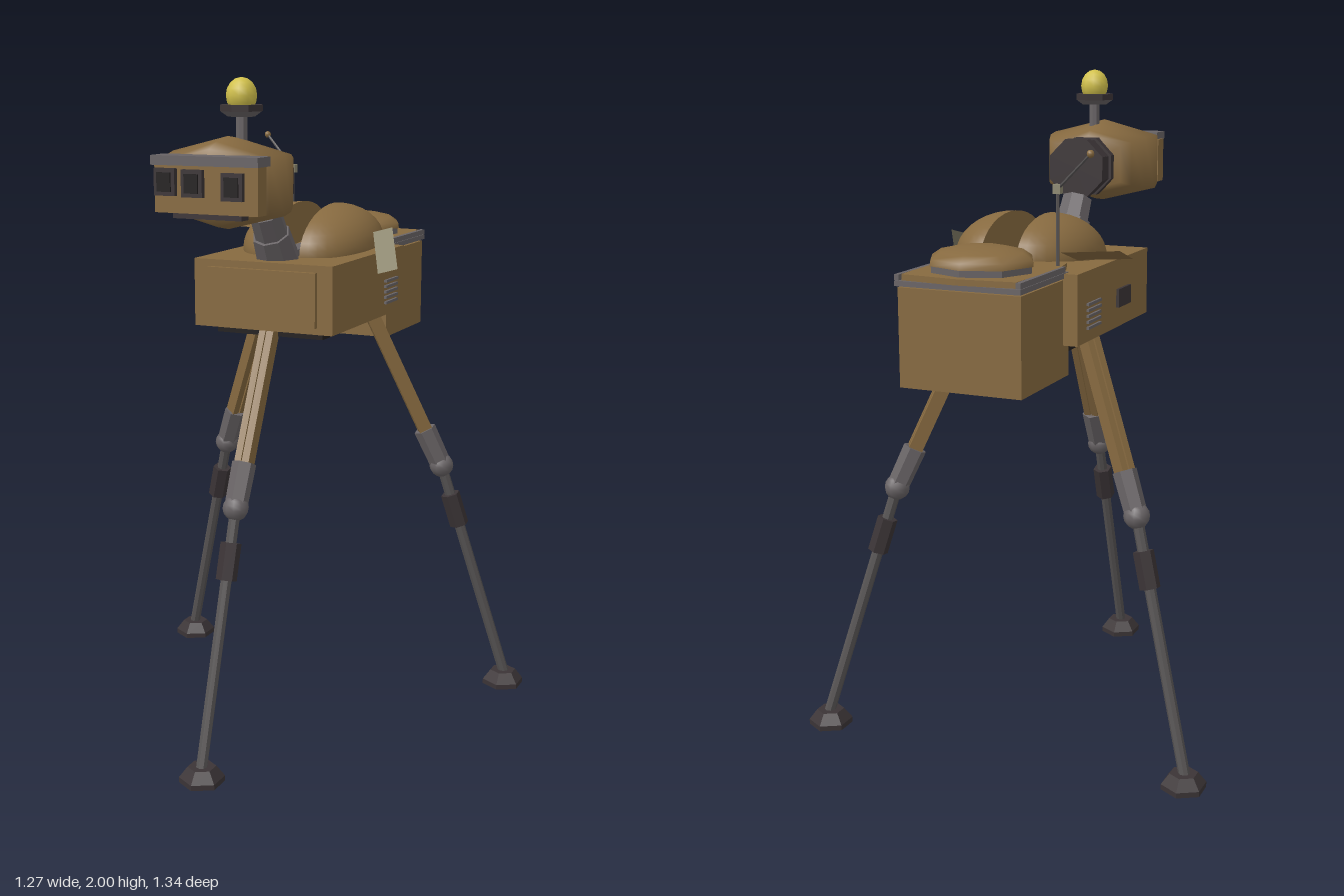
import * as THREE from 'three';

const mat = (name, color, side = THREE.FrontSide) => {
  const m = new THREE.MeshStandardMaterial({ color, side });
  m.name = name;
  return m;
};

export function createModel() {
  const root = new THREE.Group();
  root.name = 'tripodRobot';
  const tan = mat('tan paint', 0x876a40, THREE.DoubleSide);
  const grey = mat('grey metal', 0x696466);
  const steel = mat('rod steel', 0x575454);
  const dark = mat('dark rubber', 0x3b3436);
  const black = mat('black underside', 0x211e1e);
  const pale = mat('pale panel', 0x8e8971, THREE.DoubleSide);
  const yellow = mat('yellow lamp', 0xd2c14c);

  const add = (name, geo, m, pos = [0, 0, 0], parent = root) => {
    const mesh = new THREE.Mesh(geo, m);
    mesh.name = name;
    mesh.position.set(...pos);
    parent.add(mesh);
    return mesh;
  };
  const flat = (geo) => {
    const g = geo.toNonIndexed();
    g.computeVertexNormals();
    return g;
  };
  // box from its min and max corners
  const box = (name, m, x0, x1, y0, y1, z0, z1) =>
    add(name, new THREE.BoxGeometry(x1 - x0, y1 - y0, z1 - z0), m, [(x0 + x1) / 2, (y0 + y1) / 2, (z0 + z1) / 2]);
  const cyl = (r0, r1, h, n) => flat(new THREE.CylinderGeometry(r1, r0, h, n));
  // lay a y-aligned part along the segment a to b
  const along = (name, make, m, a, b, parent = root) => {
    const p = new THREE.Vector3(...a), d = new THREE.Vector3(...b).sub(p);
    const mesh = add(name, make(d.length()), m, p.clone().addScaledVector(d, 0.5).toArray(), parent);
    mesh.quaternion.setFromUnitVectors(new THREE.Vector3(0, 1, 0), d.normalize());
    return mesh;
  };
  const quad = (name, m, pts) => {
    const g = new THREE.BufferGeometry();
    g.setAttribute('position', new THREE.Float32BufferAttribute(pts.flat(), 3));
    g.setIndex([0, 1, 2, 0, 2, 3]);
    g.computeVertexNormals();
    add(name, g, m);
  };

  // Body
  box('body', tan, -0.227, 0.225, 1.265, 1.468, -0.37, 0.195);
  box('frontPanel', tan, -0.178, 0.176, 1.285, 1.447, 0.195, 0.21);
  box('underPlate', black, -0.18, 0.17, 1.24, 1.265, -0.32, 0.14);
  box('sidePort', dark, -0.236, -0.227, 1.325, 1.38, -0.07, 0.03);
  for (const s of [-1, 1]) for (let i = 0; i < 5; i++) {
    add('ventSlat', new THREE.BoxGeometry(0.012, 0.008, 0.098), grey, [s * 0.228, 1.305 + i * 0.017, -0.253]);
  }

  // Rear box and its lid
  box('rearBox', tan, -0.183, 0.183, 1.172, 1.45, -0.65, -0.33);
  box('lidSeal', grey, -0.187, 0.187, 1.455, 1.47, -0.662, -0.34);
  const lid = new THREE.Shape([[-0.165, 0.3], [0.165, 0.3], [0.183, 0.4], [0.17, 0.65], [0, 0.668], [-0.17, 0.65], [-0.183, 0.4]]
    .map(([x, z]) => new THREE.Vector2(x, z)));
  const lidGeo = new THREE.ExtrudeGeometry(lid, { depth: 0.017, bevelEnabled: false });
  lidGeo.rotateX(-Math.PI / 2);
  add('lid', lidGeo, tan, [0, 1.47, 0]);
  for (const s of [-1, 1]) add('lidEdge', new THREE.BoxGeometry(0.014, 0.016, 0.3), grey, [s * 0.18, 1.479, -0.51]);
  const hatchRim = add('hatchRim', cyl(1, 1, 0.02, 8), grey, [0, 1.497, -0.505]);
  hatchRim.scale.set(0.15, 1, 0.137);
  const hatch = add('hatch', new THREE.LatheGeometry([[1, 0], [0.98, 0.018], [0.8, 0.036], [0.45, 0.048], [0, 0.052]]
    .reverse().map(([r, y]) => new THREE.Vector2(r, y)), 8), tan, [0, 1.505, -0.505]);
  hatch.scale.set(0.155, 1, 0.138);

  // Split shell on the back, with the spine between its halves
  for (const s of [-1, 1]) {
    const half = new THREE.Group();
    half.name = s > 0 ? 'leftShell' : 'rightShell';
    half.position.set(s * 0.055, 1.483, -0.172);
    half.rotation.x = 0.08;
    half.scale.set(0.157, 0.127, 0.23);
    root.add(half);
    add('shell', new THREE.SphereGeometry(1, 18, 9, s > 0 ? Math.PI / 2 : Math.PI * 1.5, Math.PI, 0, Math.PI / 2), tan, [0, 0, 0], half);
    const wall = add('shellWall', new THREE.CircleGeometry(1, 18, 0, Math.PI), tan, [0, 0, 0], half);
    wall.rotation.y = -s * Math.PI / 2;
  }
  box('spine', grey, -0.035, 0.035, 1.465, 1.487, -0.33, 0.09);

  // Loose side panels
  quad('rightFlap', tan, [[-0.4, 1.562, -0.5], [-0.363, 1.51, -0.297], [-0.208, 1.503, -0.33], [-0.243, 1.552, -0.525]]);
  quad('leftFlap', pale, [[0.204, 1.53, -0.16], [0.31, 1.435, 0.06], [0.364, 1.45, 0.04], [0.258, 1.545, -0.182]]);

  // Neck
  along('neckBase', (h) => cyl(0.066, 0.058, h, 8), grey, [0, 1.46, 0.085], [0, 1.545, 0.137]);
  along('neck', (h) => cyl(0.052, 0.048, h, 8), grey, [0, 1.53, 0.125], [0, 1.61, 0.175]);
  for (const [z, r, h] of [[0.178, 0.095, 0.03], [0.215, 0.09, 0.026], [0.252, 0.095, 0.03], [0.215, 0.07, 0.1]]) {
    const g = cyl(r, r, h, 8);
    g.rotateY(Math.PI / 8);
    g.rotateX(Math.PI / 2);
    add('collar', g, dark, [0, 1.706, z]);
  }

  // Head: six-sided sections lofted from back to front
  const section = [[0, 1], [-1, 0.66], [-1, -0.66], [0, -1], [1, -0.66], [1, 0.66]];
  const rings = [[0.262, 0.11, 0.085], [0.28, 0.14, 0.1], [0.34, 0.162, 0.12], [0.405, 0.173, 0.128], [0.47, 0.158, 0.116], [0.515, 0.135, 0.098]];
  const pos = [], idx = [], n = section.length, last = rings.length - 1;
  for (const [z, w, h] of rings) for (const [x, y] of section) pos.push(x * w, y * h, z);
  pos.push(0, 0, 0.255, 0, 0, 0.535);
  for (let j = 0; j < n; j++) {
    const k = (j + 1) % n;
    for (let i = 0; i < last; i++) {
      const a = i * n + j, b = i * n + k;
      idx.push(a, b, b + n, a, b + n, a + n);
    }
    idx.push(n * rings.length, k, j, n * rings.length + 1, last * n + j, last * n + k);
  }
  const headGeo = new THREE.BufferGeometry();
  headGeo.setAttribute('position', new THREE.Float32BufferAttribute(pos, 3));
  headGeo.setIndex(idx);
  headGeo.computeVertexNormals();
  add('head', headGeo, tan, [0, 1.714, 0]);

  // Face
  box('facePlate', tan, -0.15, 0.165, 1.64, 1.775, 0.5, 0.55);
  box('mouthBar', dark, -0.1, 0.11, 1.625, 1.64, 0.5, 0.54);
  const visor = add('visor', new THREE.BoxGeometry(0.32, 0.026, 0.078), grey, [0.02, 1.784, 0.547]);
  visor.rotation.y = 0.02;
  for (const [x, y] of [[-0.112, 1.724], [-0.028, 1.722], [0.093, 1.716]]) {
    add('eyeFrame', new THREE.BoxGeometry(0.064, 0.074, 0.016), dark, [x, y, 0.557]);
    add('eye', new THREE.BoxGeometry(0.042, 0.052, 0.006), black, [x, y, 0.567]);
  }

  // Beacon
  add('beaconStem', cyl(0.017, 0.017, 0.09, 8), grey, [0.01, 1.865, 0.34]);
  add('beaconBase', cyl(0.04, 0.062, 0.015, 8), grey, [0.01, 1.9, 0.34]);
  add('beaconFlange', cyl(0.062, 0.062, 0.018, 8), dark, [0.01, 1.916, 0.34]);
  const lamp = add('beaconLamp', new THREE.SphereGeometry(1, 10, 8), yellow, [0.01, 1.95, 0.34]);
  lamp.scale.set(0.043, 0.05, 0.047);

  // Antenna
  add('antennaMast', cyl(0.005, 0.005, 0.23, 6), steel, [-0.162, 1.585, -0.357]);
  add('antennaElbow', new THREE.BoxGeometry(0.022, 0.026, 0.022), pale, [-0.162, 1.7, -0.357]);
  along('antennaRod', (h) => cyl(0.005, 0.004, h, 6), steel, [-0.162, 1.7, -0.357], [-0.283, 1.803, -0.42]);
  add('antennaTip', new THREE.SphereGeometry(0.011, 8, 6), tan, [-0.284, 1.804, -0.421]);

  // Legs: each is built in its own plane, with +z outward
  const legs = [['frontLeg', 0, 0.145, 0, 0.603], ['rightLeg', -0.185, -0.19, -0.578, -0.405], ['leftLeg', 0.185, -0.205, 0.576, -0.45]];
  for (const [name, hx, hz, fx, fz] of legs) {
    const leg = new THREE.Group();
    leg.name = name;
    leg.position.set(hx, 0, hz);
    const heading = Math.atan2(fx - hx, fz - hz), d = Math.hypot(fx - hx, fz - hz);
    leg.rotation.y = heading;
    root.add(leg);
    const up = (y, x = 0) => [x, y, d * 0.51 * (1.265 - y) / 0.5];
    const low = (y) => [0, y, d * (0.51 + 0.49 * (0.765 - y) / 0.715)];
    for (const s of [-1, 1]) {
      along('thighBeam', (h) => new THREE.BoxGeometry(0.021, h, 0.042), tan, up(1.29, s * 0.013), up(0.87, s * 0.013), leg);
    }
    along('thighCore', (h) => new THREE.BoxGeometry(0.01, h, 0.03), tan, up(1.28), up(0.87), leg);
    along('kneeCuff', (h) => cyl(0.034, 0.036, h, 6), grey, up(0.775), up(0.89), leg);
    add('knee', new THREE.SphereGeometry(0.039, 10, 8), grey, up(0.768), leg);
    along('shin', (h) => cyl(0.017, 0.017, h, 8), steel, low(0.03), low(0.765), leg);
    along('shinSleeve', (h) => cyl(0.031, 0.031, h, 6), dark, low(0.565), low(0.67), leg);
    const foot = add('foot', cyl(0.067, 0.042, 0.032, 6), dark, [0, 0.032, d], leg);
    const sole = add('sole', cyl(0.067, 0.067, 0.016, 6), dark, [0, 0.008, d], leg);
    foot.rotation.y = sole.rotation.y = -heading;
  }
  return root;
}
